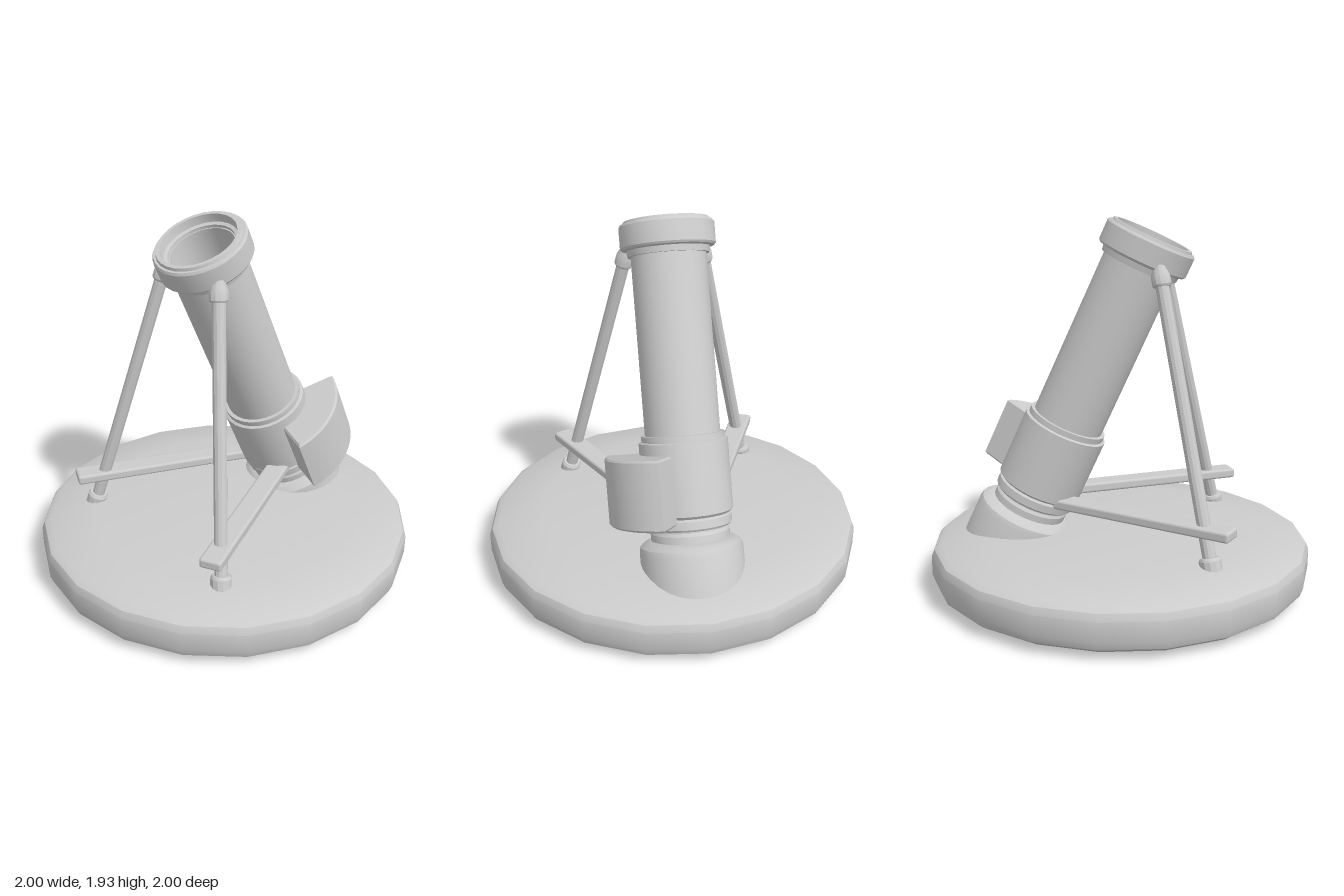
import * as THREE from 'three';
import { toCreasedNormals } from 'three/addons/utils/BufferGeometryUtils.js';
import { RoundedBoxGeometry } from 'three/addons/geometries/RoundedBoxGeometry.js';

const material = new THREE.MeshStandardMaterial({ color: 0xcccccc });
const TILT = THREE.MathUtils.degToRad(24.5);

function part(name, geometry, crease = 0.5) {
  const mesh = new THREE.Mesh(crease ? toCreasedNormals(geometry, crease) : geometry, material);
  mesh.name = name;
  return mesh;
}

// Turned part from [radius, height] pairs, listed bottom to top on the outside
function turned(name, points, sides) {
  return part(name, new THREE.LatheGeometry(points.map(([r, y]) => new THREE.Vector2(r, y)), sides));
}

// Leg between two points, with a foot sleeve and a domed top cap
function makeLeg(name, bottom, top) {
  const leg = new THREE.Group();
  leg.name = name;
  const dir = top.clone().sub(bottom);
  const len = dir.length();
  leg.add(turned('legRod', [[0, 0], [0.034, 0], [0.034, len], [0, len]], 12));
  leg.add(turned('legFoot', [[0, -0.04], [0.055, -0.04], [0.055, 0.03], [0.046, 0.045], [0, 0.045]], 12));
  const cap = turned('legCap', [[0, -0.02], [0.042, -0.02], [0.048, -0.01], [0.048, 0.03], [0.036, 0.065], [0.028, 0.11], [0, 0.115]], 12);
  cap.position.y = len;
  leg.add(cap);
  leg.position.copy(bottom);
  leg.quaternion.setFromUnitVectors(new THREE.Vector3(0, 1, 0), dir.normalize());
  return leg;
}

export function createModel() {
  const model = new THREE.Group();
  model.name = 'tiltedTubeOnBase';

  // Round base with softened rim
  model.add(turned('base', [[0, 0], [0.7, 0], [0.95, 0.035], [0.985, 0.06], [1, 0.1], [1, 0.2],
    [0.985, 0.235], [0.95, 0.255], [0.7, 0.29], [0, 0.29]], 20));

  // Tilted barrel assembly: local y runs along the axis, origin at the muzzle
  const barrel = new THREE.Group();
  barrel.name = 'barrel';
  barrel.position.set(-0.16, 1.825, 0);
  barrel.rotation.z = TILT;
  model.add(barrel);

  // Hollow tube with its bore
  barrel.add(turned('tube', [[0, -1.6], [0.19, -1.6], [0.19, -0.05], [0.165, -0.05], [0.165, -1.45], [0, -1.45]], 28));

  // Muzzle ring with stepped lips
  barrel.add(turned('muzzleRing', [[0.165, -0.16], [0.205, -0.16], [0.21, -0.13], [0.232, -0.125], [0.24, -0.115],
    [0.24, -0.012], [0.232, 0], [0.22, 0], [0.215, 0.014], [0.195, 0.014], [0.19, -0.03], [0.172, -0.035], [0.165, -0.16]], 28));

  // Lower sleeve with collars
  barrel.add(turned('sleeve', [[0.18, -1.515], [0.205, -1.515], [0.215, -1.505], [0.215, -1.465], [0.205, -1.455],
    [0.225, -1.44], [0.225, -1.085], [0.21, -1.08], [0.21, -1.05], [0.18, -1.05]], 28));

  // Neck and flared foot sunk into the base
  barrel.add(turned('neck', [[0.2, -1.6], [0.2, -1.54], [0.18, -1.51]], 28));
  barrel.add(turned('barrelFoot', [[0, -1.86], [0.265, -1.86], [0.262, -1.63], [0.255, -1.605], [0.235, -1.59],
    [0.205, -1.575], [0.18, -1.575]], 28));

  // Curved housing wrapped around the front of the sleeve
  const a0 = THREE.MathUtils.degToRad(29), a1 = THREE.MathUtils.degToRad(109);
  const sector = new THREE.Shape();
  sector.absarc(0, 0, 0.39, a0, a1, false);
  sector.absarc(0, 0, 0.2, a1, a0, true);
  const housing = part('sideHousing', new THREE.ExtrudeGeometry(sector, {
    depth: 0.32, curveSegments: 10, bevelSize: 0.01, bevelThickness: 0.01, bevelSegments: 1,
  }));
  housing.rotation.x = Math.PI / 2;
  housing.position.y = -1.15;
  barrel.add(housing);

  // Mirrored legs and horizontal braces
  for (const side of [1, -1]) {
    const label = side > 0 ? 'front' : 'back';
    model.add(makeLeg(label + 'Leg', new THREE.Vector3(-0.49, 0.285, side * 0.515), new THREE.Vector3(-0.222, 1.615, side * 0.207)));

    const start = new THREE.Vector2(-0.59, 0.543), end = new THREE.Vector2(0.32, 0.115);
    const span = end.clone().sub(start);
    const brace = part(label + 'Brace', new RoundedBoxGeometry(span.length(), 0.052, 0.115, 2, 0.014), 0);
    brace.position.set((start.x + end.x) / 2, 0.456, side * (start.y + end.y) / 2);
    brace.rotation.y = -side * span.angle();
    model.add(brace);
  }
  return model;
}
